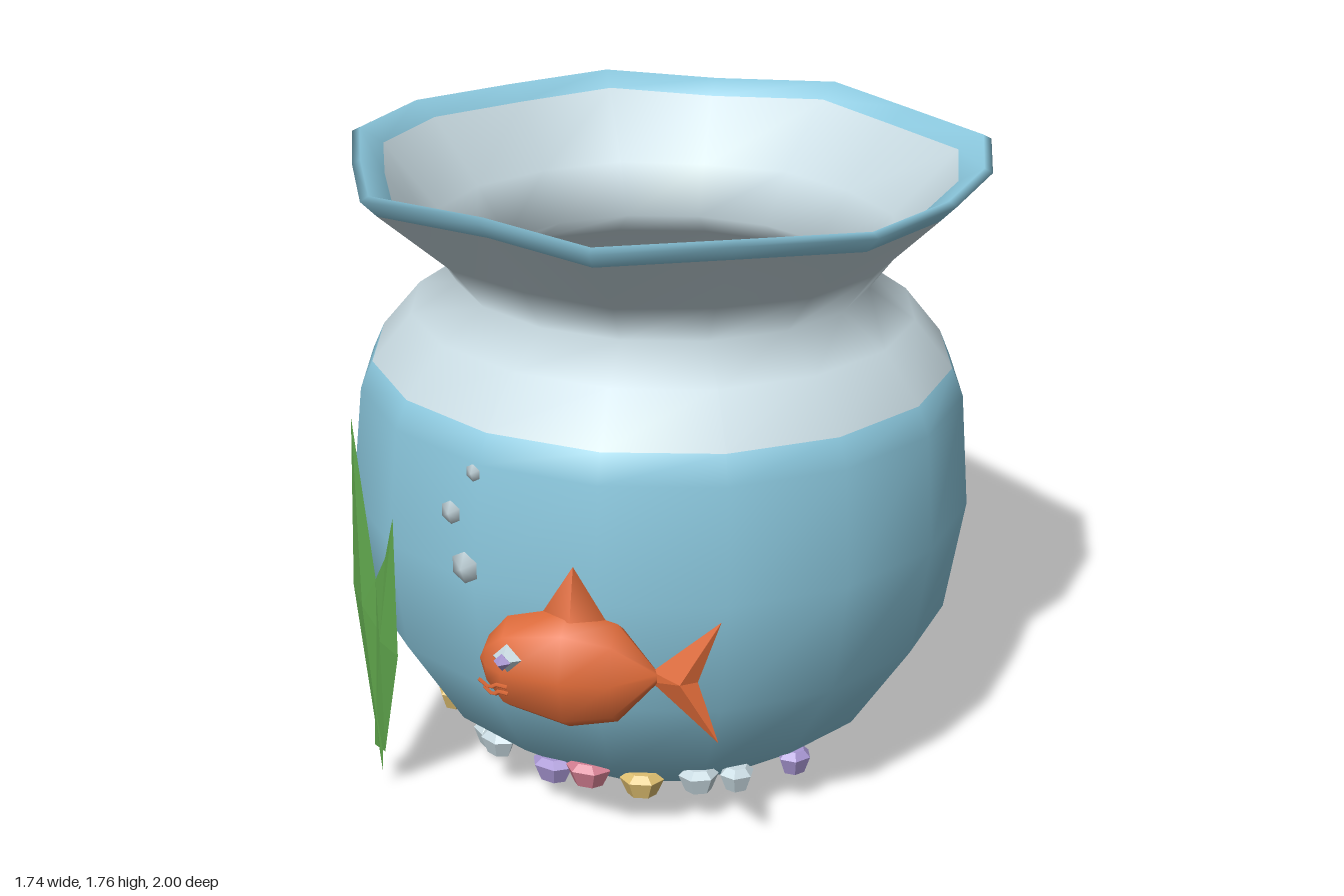
import * as THREE from 'three';

const mat = (name, color, side = THREE.FrontSide) => {
  const m = new THREE.MeshStandardMaterial({ color, side });
  m.name = name;
  return m;
};

// Closed two-sided blade: a flat outline (counter-clockwise) with a raised centre on each side
function blade(outline, [cx, cy], thick, zAt = () => 0) {
  const pos = [];
  const v = ([x, y]) => [x, y, zAt(x)];
  outline.forEach((p, i) => {
    const q = outline[(i + 1) % outline.length];
    pos.push(cx, cy, zAt(cx) + thick, ...v(p), ...v(q));
    pos.push(cx, cy, zAt(cx) - thick, ...v(q), ...v(p));
  });
  const g = new THREE.BufferGeometry();
  g.setAttribute('position', new THREE.Float32BufferAttribute(pos, 3));
  g.computeVertexNormals();
  return g;
}

// Bowl wall from 16-sided rings [radius, height, waviness, material of the band to the next ring]
function bowlShell(rings) {
  const N = 16, wave = [0.888, 0.93, 0.87, 0.951, 0.835, 0.93, 0.85, 0.89];
  const pos = [], idx = [], g = new THREE.BufferGeometry();
  rings.forEach(([r, y, w, m], j) => {
    for (let k = 0; k < N; k++) {
      const a = ((k + 0.5) / N) * Math.PI * 2;
      const s = wave[k < 8 ? k : 15 - k] / 0.89;
      const rr = r * (1 + (s - 1) * w);
      pos.push(rr * Math.cos(a), y, rr * Math.sin(a));
    }
    if (j === rings.length - 1) return;
    g.addGroup(idx.length, N * 6, m);
    for (let k = 0; k < N; k++) {
      const a = j * N + k, b = j * N + ((k + 1) % N), c = a + N, d = b + N;
      idx.push(a, c, b, b, c, d);
    }
  });
  g.setAttribute('position', new THREE.Float32BufferAttribute(pos, 3));
  g.setIndex(idx);
  g.computeVertexNormals();
  return g;
}

export function createModel() {
  const model = new THREE.Group();
  model.name = 'fishBowl';
  const blue = mat('waterBlue', 0x8cc9df), white = mat('glassWhite', 0xc8dae1);
  const orange = mat('fishOrange', 0xe36d3a), green = mat('plantGreen', 0x62aa4e);
  const yellow = mat('pebbleYellow', 0xdfbf70), pink = mat('pebblePink', 0xd47f92);
  const purple = mat('pebblePurple', 0xa997d4);
  const add = (parent, name, geo, material, x = 0, y = 0, z = 0) => {
    const m = new THREE.Mesh(geo, material);
    m.name = name;
    m.position.set(x, y, z);
    parent.add(m);
    return m;
  };

  // Bowl, leaning very slightly
  const bowl = new THREE.Group();
  bowl.name = 'bowl';
  bowl.position.set(-0.02, 0.006, -0.065);
  bowl.rotation.z = -0.0145;
  model.add(bowl);
  const W = 0, G = 1;
  add(bowl, 'bowlShell', bowlShell([
    [0.001, 0, 0, W], [0.413, 0, 0, W], [0.658, 0.175, 0, W], [0.829, 0.445, 0, W],
    [0.877, 0.77, 0, W], [0.847, 1.09, 0, W], [0.813, 1.168, 0, G],
    [0.704, 1.30, 0, G], [0.574, 1.383, 0, G], [0.66, 1.5, 0.3, G],
    [0.845, 1.682, 1, W], [0.89, 1.728, 1, W], [0.867, 1.74, 1, W],
    [0.8, 1.7, 1, G], [0.645, 1.52, 0.3, G], [0.54, 1.385, 0, G],
    [0.67, 1.3, 0, G], [0.78, 1.16, 0, G],
  ]), [blue, white]);
  const surface = add(bowl, 'waterSurface', new THREE.CircleGeometry(0.79, 16, Math.PI / 16), blue, 0, 1.165, 0);
  surface.rotation.x = -Math.PI / 2;

  // Fish, turned a little along the bowl
  const fish = new THREE.Group();
  fish.name = 'fish';
  fish.position.set(0.11, 0.61, 0.84);
  fish.rotation.y = 0.15;
  model.add(fish);
  const profile = [[0, -0.238], [0.065, -0.212], [0.125, -0.16], [0.165, 0.0], [0.135, 0.13], [0.015, 0.235], [0, 0.235]]
    .map(([r, y]) => new THREE.Vector2(r, y));
  const bodyGeo = new THREE.LatheGeometry(profile, 8);
  bodyGeo.rotateZ(-Math.PI / 2);
  bodyGeo.scale(1, 1.03, 0.62);
  add(fish, 'fishBody', bodyGeo, orange);
  add(fish, 'tailFin', blade([[0.4, 0.175], [0.22, 0.015], [0.22, -0.015], [0.395, -0.168], [0.34, 0]], [0.3, 0], 0.03), orange);
  const fin = new THREE.ConeGeometry(0.085, 0.14, 4);
  fin.scale(1, 1, 0.45);
  add(fish, 'topFin', fin, orange, 0.015, 0.215, 0);

  // Eye and mouth
  const eye = add(model, 'eye', new THREE.OctahedronGeometry(0.04), white, -0.01, 0.665, 0.95);
  eye.scale.z = 0.85;
  add(model, 'pupil', new THREE.OctahedronGeometry(0.024), purple, -0.012, 0.665, 0.976);
  const lips = [[-0.095, 0.582], [-0.065, 0.562], [-0.045, 0.574], [-0.015, 0.572]];
  for (const [i, dy] of [0.006, -0.012].entries()) {
    const curve = new THREE.CatmullRomCurve3(
      lips.map(([x, y]) => new THREE.Vector3(x * (1 - i * 0.15), y + dy, 0.945)), false, 'catmullrom', 0.1);
    add(model, 'mouth', new THREE.TubeGeometry(curve, 6, 0.006, 4), orange);
  }

  // Water plant: two leaves following the bowl's side
  const leafZ = (x) => 0.63 + (x + 0.57) * 0.88;
  add(model, 'tallLeaf', blade(
    [[-0.66, 1.08], [-0.697, 0.56], [-0.565, 0.05], [-0.535, 0.5], [-0.555, 0.66]], [-0.62, 0.55], 0.025, leafZ), green);
  add(model, 'shortLeaf', blade(
    [[-0.435, 0.9], [-0.49, 0.755], [-0.555, 0.655], [-0.61, 0.11], [-0.545, 0.13], [-0.44, 0.49]],
    [-0.52, 0.5], 0.025, leafZ), green);

  // Bubbles: flat hexagonal gems
  for (const [x, y, r] of [[-0.195, 0.825, 0.045], [-0.23, 0.975, 0.033], [-0.163, 1.095, 0.024]]) {
    const g = new THREE.SphereGeometry(r, 6, 2);
    g.rotateX(Math.PI / 2);
    g.rotateZ(Math.PI / 6);
    g.scale(1, 1, 0.4);
    add(model, 'bubble', g, white, x, y, 0.81).rotation.y = -0.2;
  }

  // Pebbles around the lower front
  const stone = new THREE.LatheGeometry(
    [[0, -1], [0.65, -0.9], [1, 0.45], [0.6, 1], [0, 1]].map(([r, y]) => new THREE.Vector2(r, y)), 6, Math.PI / 6);
  const stoneGeo = stone.toNonIndexed();
  stoneGeo.computeVertexNormals();
  const pebbles = [
    [-0.51, 0.145, yellow, 0.055], [-0.535, 0.09, pink, 0.05], [-0.355, 0.09, white, 0.055],
    [-0.265, 0.145, white, 0.06], [-0.105, 0.09, purple, 0.065], [0.035, 0.14, pink, 0.065],
    [0.16, 0.09, yellow, 0.062], [0.325, 0.135, white, 0.056], [0.39, 0.09, white, 0.05], [0.53, 0.135, purple, 0.05],
  ];
  for (const [x, y, material, w] of pebbles) {
    const r = y > 0.11 ? 0.625 : 0.565;
    const z = Math.sqrt(Math.max(r * r - x * x, 0.05)) - 0.065;
    const p = add(model, 'pebble', stoneGeo, material, x, y, z);
    p.scale.set(w, 0.036, 0.045);
    p.rotation.y = Math.atan2(x, z + 0.065);
  }
  return model;
}
